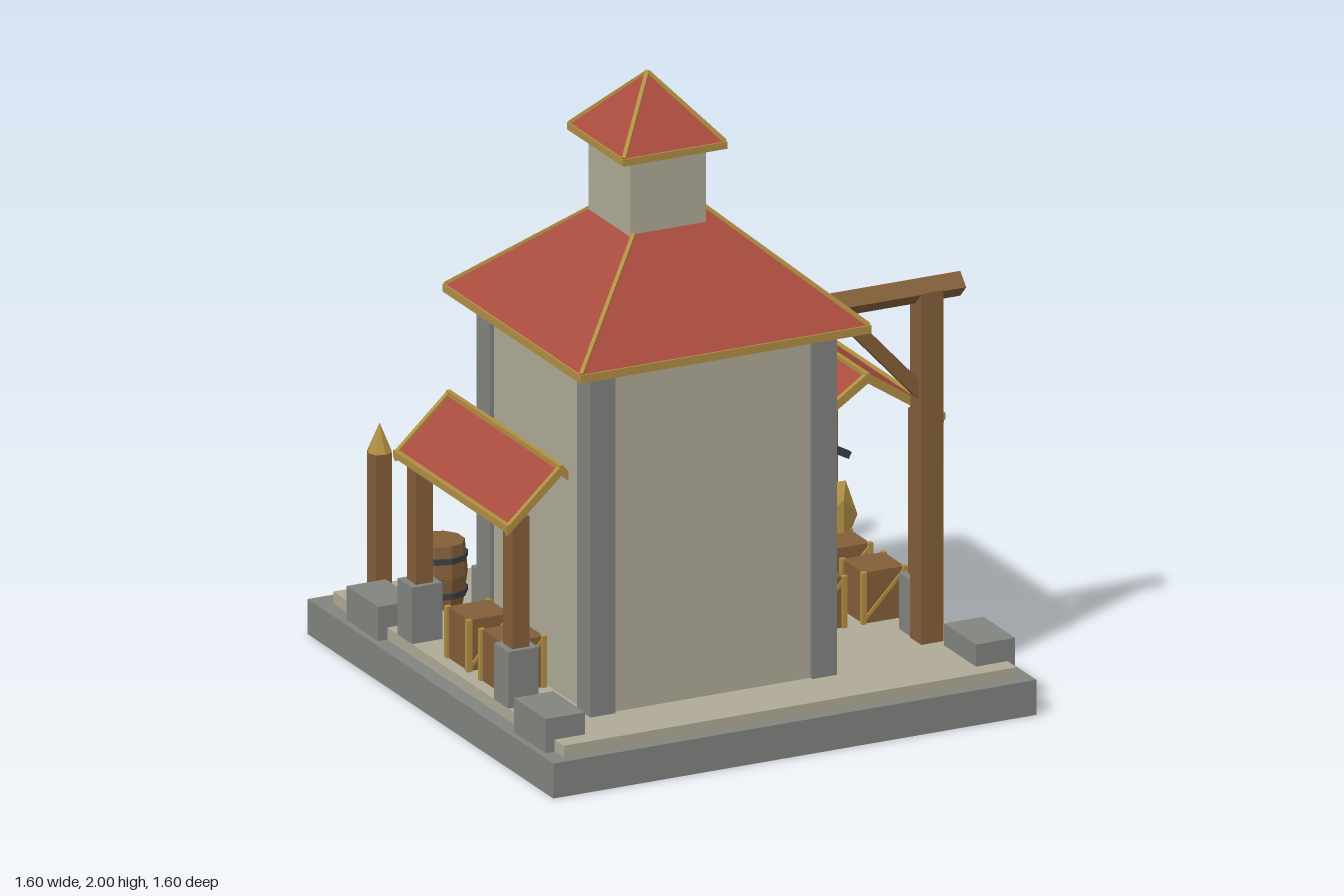
import * as THREE from 'three';

const mat = (name, color) => {
  const m = new THREE.MeshStandardMaterial({ color });
  m.name = name;
  return m;
};

export function createModel() {
  const stone = mat('grey stone', 0x82847f), plaster = mat('plaster', 0xafab96);
  const wood = mat('wood', 0x835f39), gold = mat('gold trim', 0xb18f43);
  const red = mat('red tiles', 0xa94c3e), iron = mat('dark iron', 0x3c3e44);
  const teal = mat('teal glass', 0x2a918b);

  const model = new THREE.Group();
  model.name = 'watchtower';
  const group = (name, parent = model) => {
    const g = new THREE.Group();
    g.name = name;
    parent.add(g);
    return g;
  };

  // faceted mesh
  const add = (parent, name, geo, m, x = 0, y = 0, z = 0) => {
    const g = geo.index ? geo.toNonIndexed() : geo;
    g.computeVertexNormals();
    const mesh = new THREE.Mesh(g, m);
    mesh.name = name;
    mesh.position.set(x, y, z);
    parent.add(mesh);
    return mesh;
  };
  // box from its min and max limits
  const box = (parent, name, m, x0, x1, y0, y1, z0, z1) =>
    add(parent, name, new THREE.BoxGeometry(x1 - x0, y1 - y0, z1 - z0), m,
      (x0 + x1) / 2, (y0 + y1) / 2, (z0 + z1) / 2);
  // square bar between two points
  const bar = (parent, name, m, a, b, t) => {
    const p = new THREE.Vector3(...a), q = new THREE.Vector3(...b);
    const mesh = add(parent, name, new THREE.BoxGeometry(t, t, p.distanceTo(q)), m);
    mesh.position.copy(p).add(q).multiplyScalar(0.5);
    mesh.lookAt(q);
    return mesh;
  };
  // flat outline extruded along z
  const plate = (parent, name, m, pts, x, y, z, depth) =>
    add(parent, name, new THREE.ExtrudeGeometry(
      new THREE.Shape(pts.map(p => new THREE.Vector2(...p))),
      { depth, bevelEnabled: false }), m, x, y, z);

  const floor = 0.148;

  // ground slabs, steps and corner blocks
  const ground = group('ground');
  box(ground, 'base', stone, -0.8, 0.8, 0, 0.11, -0.8, 0.8);
  box(ground, 'paving', plaster, -0.75, 0.75, 0.11, floor, -0.73, 0.77);
  [[-0.76, 0.148], [-0.72, 0.185], [-0.68, 0.23]].forEach(([z, y]) =>
    box(ground, 'step', plaster, -0.2, 0.2, 0.11, y, z, -0.59));
  for (const x of [-0.715, 0.71]) for (const z of [-0.4825, 0.6075])
    box(ground, 'cornerBlock', stone, x - 0.065, x + 0.065, 0.1, 0.217, z - 0.103, z + 0.103);

  // tower body with corner piers
  const tower = group('tower');
  box(tower, 'walls', plaster, -0.555, 0.235, floor, 1.24, -0.135, 0.575);
  for (const x of [-0.57, 0.165]) for (const z of [-0.152, 0.503])
    box(tower, 'pier', stone, x, x + 0.083, floor, 1.235, z, z + 0.085);
  box(tower, 'turret', plaster, -0.32, -0.07, 1.5, 1.79, 0.085, 0.36);

  // pyramid roof with gold eaves and hips
  const hipRoof = (name, cx, cz, hx, hz, y, eave, apex) => {
    const g = group(name);
    box(g, 'eaves', gold, cx - hx, cx + hx, y, y + eave, cz - hz, cz + hz);
    const cone = new THREE.ConeGeometry(Math.SQRT2, apex - y - eave, 4).rotateY(Math.PI / 4);
    add(g, 'tiles', cone.scale(hx - 0.006, 1, hz - 0.006), red, cx, (y + eave + apex) / 2, cz);
    for (const i of [-1, 1]) for (const j of [-1, 1])
      bar(g, 'hip', gold, [cx + i * (hx - 0.006), y + eave, cz + j * (hz - 0.006)],
        [cx, apex - 0.004, cz], 0.012);
  };
  hipRoof('mainRoof', -0.1625, 0.222, 0.482, 0.449, 1.235, 0.025, 1.68);
  hipRoof('turretRoof', -0.195, 0.222, 0.173, 0.183, 1.785, 0.022, 2);

  // door on the back wall
  const cx = -0.165;
  const gate = group('gate');
  const gable = (w, h, top) => [[-w, 0], [w, 0], [w, h], [0, top], [-w, h]];
  plate(gate, 'doorFrame', plaster, gable(0.19, 0.36, 0.51), cx, floor, -0.15, 0.03);
  plate(gate, 'door', wood, gable(0.16, 0.34, 0.46), cx, floor, -0.159, 0.03);
  for (const y of [0.24, 0.46]) box(gate, 'strap', gold, cx - 0.16, cx + 0.16, y, y + 0.02, -0.164, -0.15);
  for (const s of [-1, 1]) {
    box(gate, 'doorEdge', gold, cx + s * 0.15 - 0.01, cx + s * 0.15 + 0.01, floor, 0.49, -0.164, -0.15);
    bar(gate, 'gableMoulding', plaster, [cx + s * 0.2, 0.5, -0.158], [cx, 0.665, -0.158], 0.025);
  }
  box(gate, 'doorGap', iron, cx - 0.01, cx + 0.01, floor, 0.58, -0.168, -0.15);

  // banners either side of the door
  for (const s of [-1, 1]) {
    const b = group('banner'), x = cx + s * 0.26;
    box(b, 'bannerFrame', gold, x - 0.052, x + 0.052, 0.4, 0.75, -0.157, -0.13);
    box(b, 'bannerCloth', red, x - 0.043, x + 0.043, 0.41, 0.74, -0.162, -0.15);
    add(b, 'bannerDisc', new THREE.CylinderGeometry(0.02, 0.02, 0.008, 8).rotateX(Math.PI / 2),
      gold, x, 0.59, -0.163);
  }

  // diamond window above the door
  const win = group('diamondWindow');
  [[0.105, 0.15, gold, -0.155], [0.083, 0.12, teal, -0.163], [0.052, 0.075, iron, -0.178],
    [0.038, 0.055, teal, -0.184]].forEach(([w, h, m, z]) =>
    plate(win, 'diamond', m, [[-w, 0], [0, -h], [w, 0], [0, h]], cx, 0.97, z, -0.13 - z));

  // turret window
  const slit = group('turretWindow');
  plate(slit, 'slitFrame', stone, gable(0.026, 0.06, 0.09), -0.195, 1.585, 0.058, 0.03);
  plate(slit, 'slit', iron, gable(0.016, 0.05, 0.072), -0.195, 1.593, 0.053, 0.03);

  // lean-to: gabled roof on four posts with stone footings
  const shed = (name, x, w, y, h, z0, z1, px) => {
    const g = group(name);
    const chevron = (k, t) => [[-w - k, -t], [0, h - t], [w + k, -t], [w + k, 0], [0, h + k], [-w - k, 0]];
    plate(g, 'tiles', red, chevron(-0.004, 0.022), x, y, z0 + 0.01, z1 - z0 - 0.02);
    for (const z of [z0, z1 - 0.016])
      plate(g, 'gableTrim', gold, chevron(0.004, 0.028), x, y + 0.002, z, 0.016);
    for (const s of [-1, 1])
      box(g, 'eaveTrim', gold, x + s * w - 0.008, x + s * w + 0.008, y - 0.016, y + 0.006, z0, z1);
    box(g, 'ridge', gold, x - 0.007, x + 0.007, y + h - 0.012, y + h + 0.005, z0, z1);
    for (const s of [-1, 1]) for (const z of [-0.265, 0.362]) {
      const c = x + s * px;
      box(g, 'post', wood, c - 0.028, c + 0.028, 0.3, y + 0.015, z - 0.03, z + 0.03);
      box(g, 'footing', stone, c - 0.05, c + 0.05, floor, 0.325, z - 0.047, z + 0.047);
    }
  };
  shed('largeShed', 0.446, 0.248, 0.83, 0.165, -0.322, 0.4, 0.195);
  shed('smallShed', -0.578, 0.175, 0.72, 0.16, -0.322, 0.418, 0.122);

  // crane with diamond-section beam, brace, rope and hook
  const crane = group('crane');
  box(crane, 'mast', wood, 0.586, 0.66, floor, 1.25, 0.397, 0.47);
  add(crane, 'beam', new THREE.CylinderGeometry(0.039, 0.039, 0.46, 4).rotateZ(Math.PI / 2),
    wood, 0.505, 1.247, 0.432);
  bar(crane, 'brace', wood, [0.31, 1.245, 0.432], [0.61, 0.92, 0.432], 0.042);
  box(crane, 'rope', iron, 0.3, 0.31, 0.8, 1.23, 0.427, 0.437);
  bar(crane, 'hook', iron, [0.3, 0.805, 0.432], [0.365, 0.77, 0.432], 0.022);

  // crates with corner battens
  const crate = (x, z) => {
    const g = group('crate'), r = 0.068;
    box(g, 'crateBody', wood, x - r, x + r, floor, 0.308, z - r, z + r);
    for (const i of [-1, 1]) {
      for (const j of [-1, 1])
        box(g, 'batten', gold, x + i * r - 0.008, x + i * r + 0.008, floor, 0.31,
          z + j * r - 0.008, z + j * r + 0.008);
      bar(g, 'crossBatten', gold, [x - r, floor + 0.01, z + i * r], [x + r, 0.3, z + i * r], 0.01);
    }
  };
  [[0.385, 0.162], [0.585, 0.162], [0.385, -0.062], [0.585, -0.062], [0.385, -0.295],
    [0.585, -0.295], [0.385, -0.515], [-0.64, 0], [-0.64, 0.22]].forEach(p => crate(...p));

  // barrels with iron hoops
  for (const [x, z] of [[-0.515, -0.5], [0.43, -0.55]]) {
    const g = group('barrel');
    const profile = [[0, 0], [0.07, 0], [0.084, 0.1], [0.075, 0.2], [0, 0.2]];
    add(g, 'staves', new THREE.LatheGeometry(profile.map(p => new THREE.Vector2(...p)), 10), wood, x, floor, z);
    for (const y of [0.045, 0.155])
      add(g, 'hoop', new THREE.CylinderGeometry(0.084, 0.084, 0.018, 10), iron, x, floor + y, z);
  }

  // faceted grain sacks
  for (const z of [-0.16, -0.31, -0.445, -0.59])
    add(group('sacks'), 'sack', new THREE.IcosahedronGeometry(1, 0).scale(0.066, 0.115, 0.066),
      gold, 0.622, 0.352, z);

  // pointed marker posts
  for (const x of [-0.643, 0.638]) {
    const g = group('markerPost');
    box(g, 'markerShaft', wood, x - 0.027, x + 0.027, floor, 0.6, -0.667, -0.613);
    add(g, 'markerTip', new THREE.ConeGeometry(0.038, 0.09, 8), gold, x, 0.645, -0.64);
  }

  return model;
}
